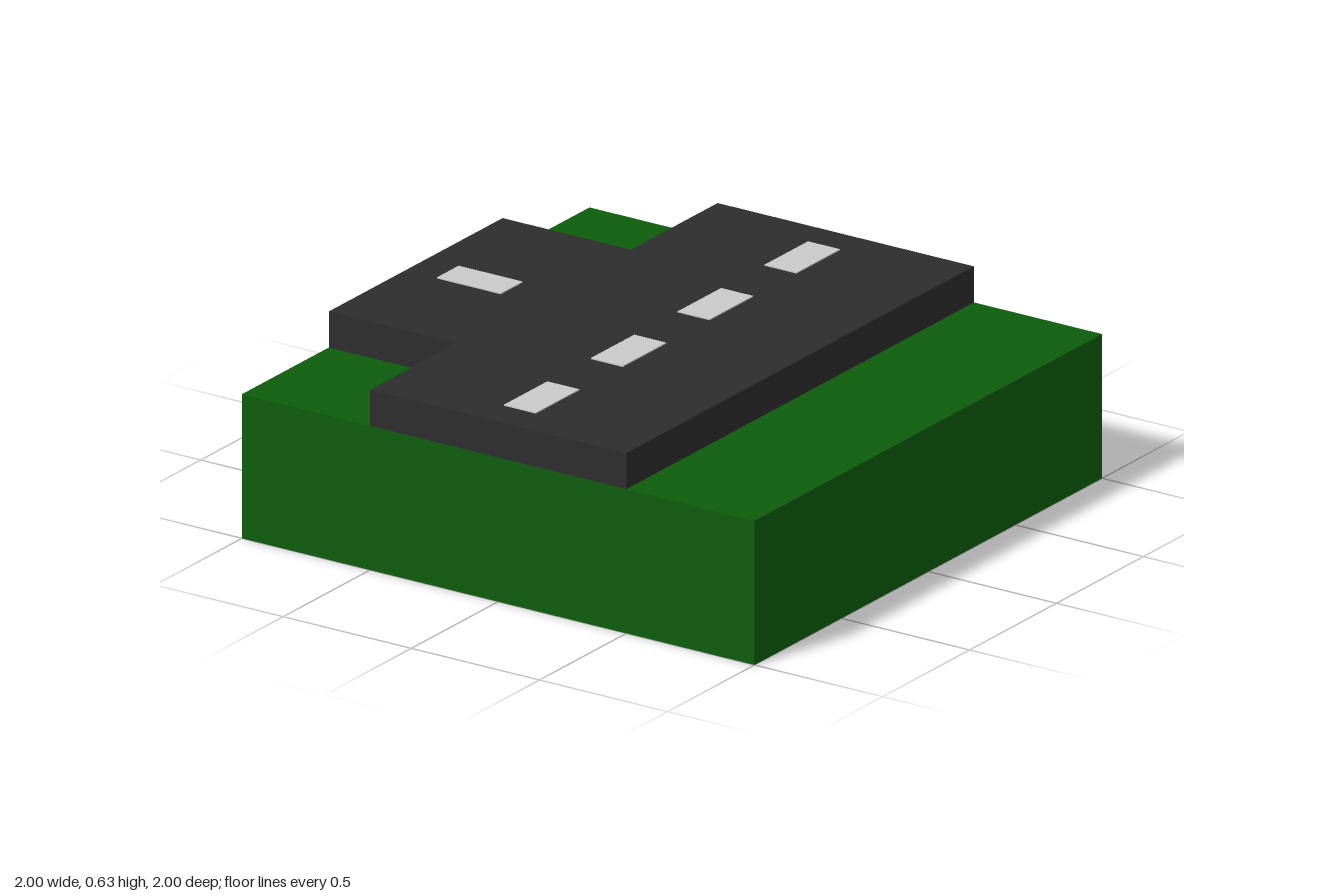
import * as THREE from 'three';

const GROUND = 0.5, ROAD = 0.125, PAINT = 0.004;

export function createModel() {
  const group = new THREE.Group();
  const material = (name, color) => {
    const m = new THREE.MeshStandardMaterial({ color });
    m.name = name;
    return m;
  };
  const grass = material('grass green', 0x0d5d0d);
  const asphalt = material('asphalt grey', 0x2d2d2d);
  const paint = material('line paint', 0xcacaca);

  const add = (name, geometry, mat, x, y, z) => {
    const mesh = new THREE.Mesh(geometry, mat);
    mesh.name = name;
    mesh.position.set(x, y, z);
    group.add(mesh);
    return mesh;
  };

  // Grass block
  add('grassBase', new THREE.BoxGeometry(2, GROUND, 2), grass, 0, GROUND / 2, 0);

  // Raised T-junction: main road along z, side road towards -x
  const outline = new THREE.Shape([
    [-0.5, -1], [0.5, -1], [0.5, 1], [-0.5, 1],
    [-0.5, 0.5], [-1, 0.5], [-1, -0.5], [-0.5, -0.5],
  ].map(([x, y]) => new THREE.Vector2(x, y)));
  const road = new THREE.ExtrudeGeometry(outline, { depth: ROAD, bevelEnabled: false });
  road.rotateX(-Math.PI / 2);
  add('roadJunction', road, asphalt, 0, GROUND, 0);

  // Painted lane dashes
  const dash = new THREE.BoxGeometry(0.125, PAINT, 0.25);
  const dashY = GROUND + ROAD + PAINT / 2;
  for (const z of [-0.75, -0.25, 0.25, 0.75]) add('mainRoadDash', dash, paint, 0, dashY, z);
  add('sideRoadDash', dash, paint, -0.75, dashY, 0).rotation.y = Math.PI / 2;

  return group;
}
